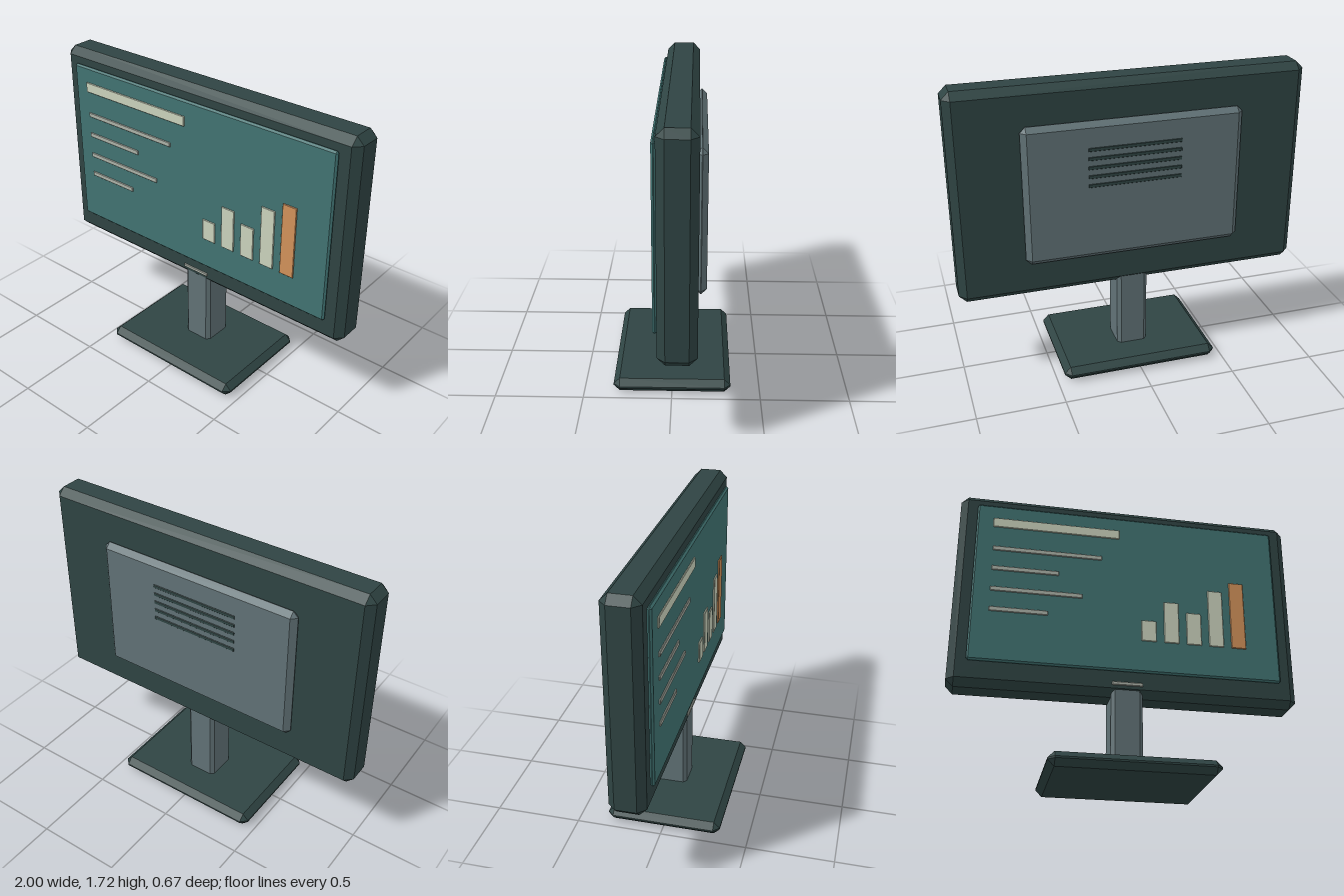
import * as THREE from 'three';
import { ConvexGeometry } from 'three/addons/geometries/ConvexGeometry.js';

const paint = (name, color) => {
  const m = new THREE.MeshStandardMaterial({ color });
  m.name = name;
  return m;
};

// Box between two corners, with every edge cut by a flat bevel c
function bevelBox(min, max, c) {
  const points = [];
  for (const sx of [0, 1]) for (const sy of [0, 1]) for (const sz of [0, 1]) {
    const s = [sx, sy, sz];
    for (let axis = 0; axis < 3; axis++) {
      const p = s.map((v, i) => (v ? max[i] : min[i]) + (i === axis ? 0 : v ? -c : c));
      points.push(new THREE.Vector3(...p));
    }
  }
  return new ConvexGeometry(points);
}

export function createModel() {
  const model = new THREE.Group();
  model.name = 'desktopMonitor';

  const dark = paint('darkCasing', 0x2f4443);
  const grey = paint('greyMetal', 0x617276);
  const teal = paint('tealScreen', 0x417372);
  const cream = paint('creamGraphics', 0xcbd3bd);
  const pale = paint('paleGreyLines', 0xadb3a9);
  const orange = paint('orangeHighlight', 0xd2925a);

  const add = (name, material, min, max, bevel, parent = model) => {
    const mesh = new THREE.Mesh(bevelBox(min, max, bevel), material);
    mesh.name = name;
    parent.add(mesh);
  };
  const group = (name) => {
    const g = new THREE.Group();
    g.name = name;
    model.add(g);
    return g;
  };

  // Stand
  add('base', dark, [-0.457, 0, -0.333], [0.457, 0.08, 0.333], 0.035);
  add('neck', grey, [-0.09, 0.05, -0.137], [0.09, 0.6, 0.055], 0.02);

  // Casing and screen
  add('housing', dark, [-1, 0.5, -0.143], [1, 1.72, 0.06], 0.042);
  add('screen', teal, [-0.9, 0.64, 0.06], [0.9, 1.64, 0.084], 0.01);
  add('powerLight', pale, [-0.088, 0.56, 0.059], [0.088, 0.58, 0.069], 0.003);

  // Title and text lines: left, right, centre height, thickness
  const text = group('screenText');
  add('title', cream, [-0.805, 1.49, 0.085], [-0.055, 1.55, 0.094], 0.003, text);
  [[-0.16, 1.347], [-0.41, 1.217], [-0.27, 1.083], [-0.465, 0.955]].forEach(([right, y], i) =>
    add(`textLine${i + 1}`, pale, [-0.797, y - 0.014, 0.085], [right, y + 0.014, 0.094], 0.003, text));

  // Bar chart, last bar highlighted
  const chart = group('barChart');
  [0.962, 1.092, 1.034, 1.193, 1.26].forEach((top, i) => {
    const x = 0.12 + i * 0.1335;
    add(`bar${i + 1}`, i === 4 ? orange : cream,
      [x - 0.044, 0.832, 0.085], [x + 0.044, top, 0.094], 0.003, chart);
  });

  // Back cover with ventilation slots
  add('backCover', grey, [-0.622, 0.71, -0.188], [0.622, 1.512, -0.125], 0.03);
  const vents = group('vents');
  for (let i = 0; i < 5; i++) {
    const y = 1.36 - i * 0.052;
    add(`vent${i + 1}`, dark, [-0.265, y - 0.01, -0.192], [0.265, y + 0.01, -0.184], 0.002, vents);
  }
  return model;
}
